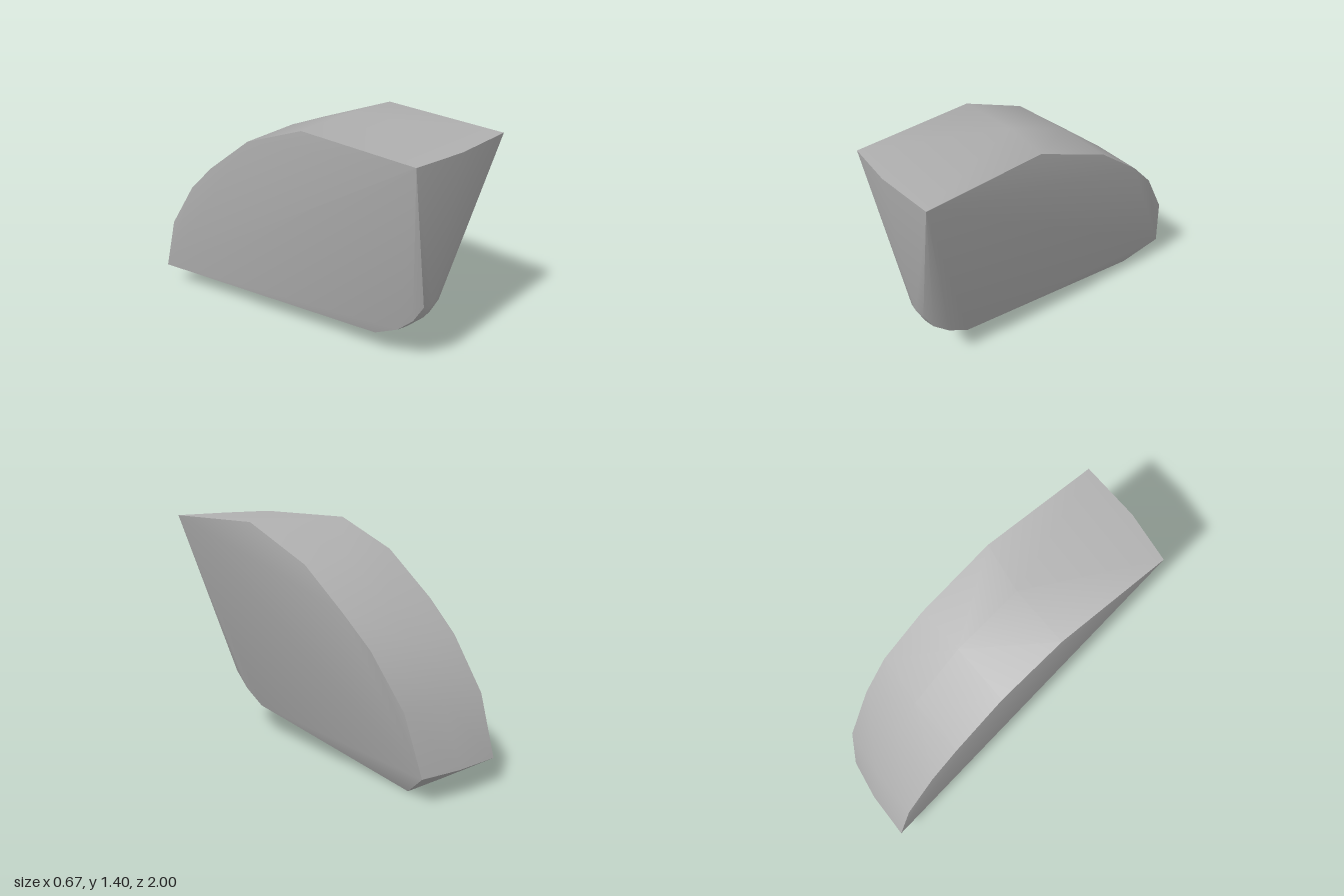
import * as THREE from 'three';
import { toCreasedNormals } from 'three/addons/utils/BufferGeometryUtils.js';
import { ConvexGeometry } from 'three/addons/geometries/ConvexGeometry.js';

const v = (x, y, z) => new THREE.Vector3(x, y, z);

export function createModel() {
  const stone = new THREE.MeshStandardMaterial({ color: 0xb0b0b0 });
  stone.name = 'plainGrey';

  // each row runs across the block: right edge, crowned middle, left edge
  const rows = [
    // front panel and narrow rounded chin
    [v(-0.335, 1.4, 0.925), v(-0.03, 1.4, 0.985), v(0.335, 1.4, 1)],
    [v(-0.088, 0.48, 0.86), v(-0.03, 0.48, 0.875), v(0.035, 0.48, 0.872)],
    [v(-0.095, 0.37, 0.8), v(-0.03, 0.37, 0.82), v(0.04, 0.37, 0.815)],
    [v(-0.095, 0.27, 0.7), v(-0.03, 0.27, 0.72), v(0.04, 0.27, 0.71)],
    [v(-0.088, 0.175, 0.54), v(-0.03, 0.177, 0.57), v(0.033, 0.18, 0.57)],
    // underside tip
    [v(-0.1, 0.05, -0.84), v(0.09, 0, -0.755)],
    // curved back, from the bottom up
    [v(-0.335, 0.15, -1), v(-0.05, 0.15, -0.99), v(0.2, 0.15, -0.945)],
    [v(-0.335, 0.5, -0.9), v(-0.03, 0.5, -0.898), v(0.257, 0.5, -0.865)],
    [v(-0.335, 0.8, -0.7), v(0, 0.8, -0.7), v(0.306, 0.8, -0.67)],
    [v(-0.335, 0.98, -0.52), v(0.02, 0.98, -0.52), v(0.335, 0.98, -0.49)],
    [v(-0.335, 1.235, -0.2), v(0.03, 1.235, -0.195), v(0.335, 1.2, -0.2)],
    [v(-0.335, 1.4, 0.2), v(0.03, 1.4, 0.21), v(0.335, 1.4, 0.27)],
  ];

  // tapered block wrapped around the rows, with soft panels and crisp borders
  const geometry = toCreasedNormals(new ConvexGeometry(rows.flat()), 0.5);
  const block = new THREE.Mesh(geometry, stone);
  block.name = 'taperedBlock';

  const model = new THREE.Group();
  model.name = 'wedgeBlock';
  model.add(block);
  return model;
}
